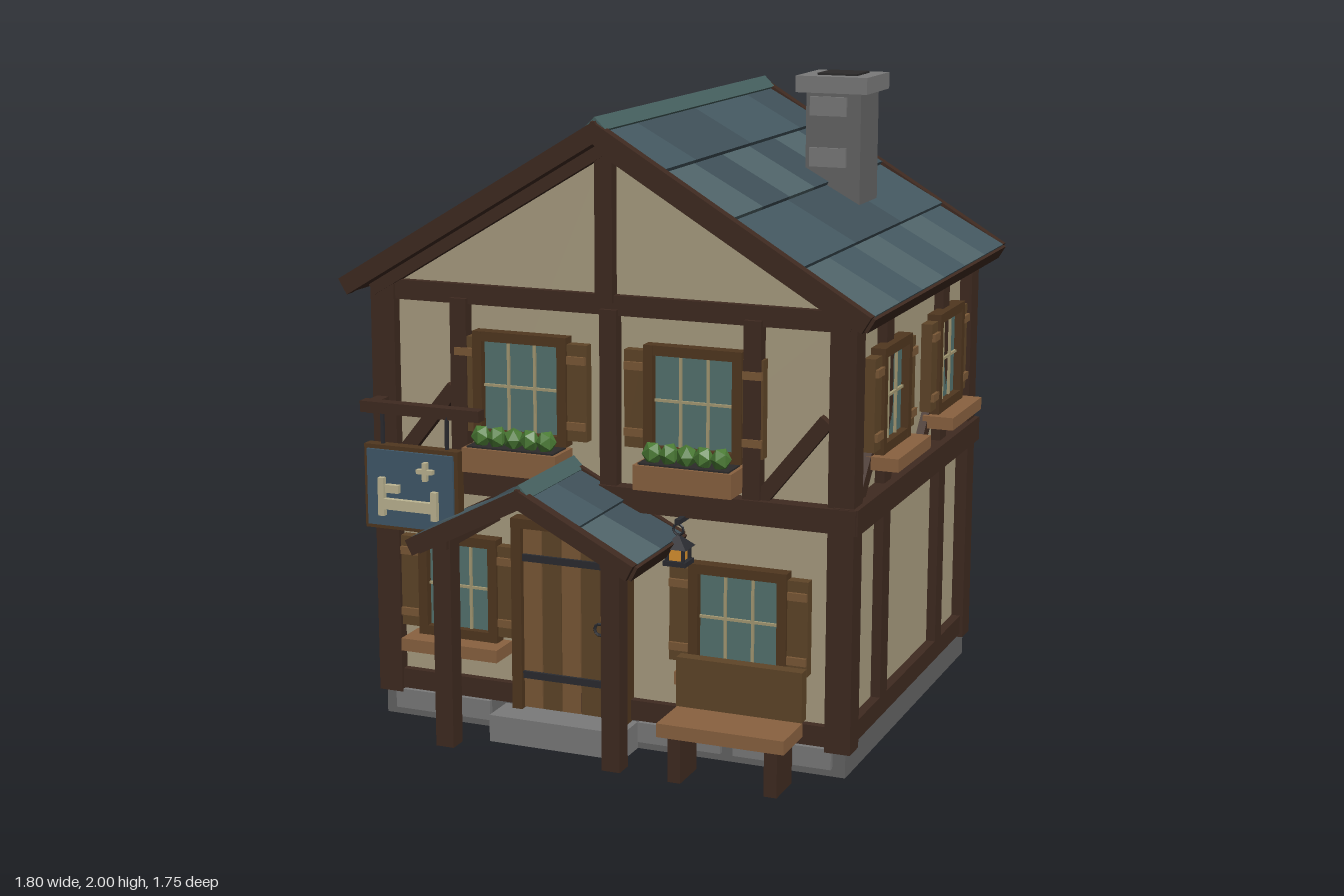
import * as THREE from 'three';

const mat = (color, double) => new THREE.MeshStandardMaterial({ color, flatShading: true, side: double ? THREE.DoubleSide : THREE.FrontSide });
const M = {
  plaster: mat(0xa99d80), beam: mat(0x3f2a20), trim: mat(0x50371f), plank: mat(0x7a5836), wood: mat(0x8a6240),
  shutter: mat(0x5f4528), stone: mat(0x646464), paleStone: mat(0x7a7a7a), soot: mat(0x2c2a2a), iron: mat(0x2a2b30),
  glass: mat(0x54736f), bar: mat(0xa59a74), leaf: mat(0x4a7a34), ridge: mat(0x46605f), sign: mat(0x40586a),
  cream: mat(0xbdb592), flame: mat(0xd8912f),
};
const TILES = [0x3f5058, 0x4b6067, 0x445860, 0x506469].map((c) => mat(c));
const CX = 0.045; // house centre line

function add(parent, name, geometry, material, x = 0, y = 0, z = 0) {
  const m = new THREE.Mesh(geometry, material);
  m.name = name;
  m.position.set(x, y, z);
  parent.add(m);
  return m;
}
// Box given by its extents
function box(parent, name, material, x0, x1, y0, y1, z0, z1) {
  return add(parent, name, new THREE.BoxGeometry(x1 - x0, y1 - y0, z1 - z0), material, (x0 + x1) / 2, (y0 + y1) / 2, (z0 + z1) / 2);
}
// Diagonal timber in the xy plane
function strut(parent, name, x0, y0, x1, y1, thick, z, depth) {
  const g = new THREE.BoxGeometry(Math.hypot(x1 - x0, y1 - y0), thick, depth);
  const m = add(parent, name, g, M.beam, (x0 + x1) / 2, (y0 + y1) / 2, z);
  m.rotation.z = Math.atan2(y1 - y0, x1 - x0);
  return m;
}
function group(parent, name, x = 0, y = 0, z = 0) {
  const g = new THREE.Group();
  g.name = name;
  g.position.set(x, y, z);
  parent.add(g);
  return g;
}

// Gabled roof: overlapping tile rows on a deck, bargeboards, fascias and ridge
function gableRoof(parent, name, o) {
  const roof = group(parent, name, o.x, o.y, (o.z0 + o.z1) / 2);
  const len = o.z1 - o.z0, slope = Math.hypot(o.half, o.drop), row = slope / o.rows, col = (len - 0.07) / o.cols;
  for (const side of [0, 1]) {
    const turn = group(roof, side ? 'leftSlope' : 'rightSlope');
    turn.rotation.y = side * Math.PI;
    const s = group(turn, 'slope');
    s.rotation.z = -Math.atan2(o.drop, o.half);
    box(s, 'deck', M.beam, 0, slope - 0.01, -0.055, -0.025, -len / 2 + 0.02, len / 2 - 0.02);
    for (let r = 0; r < o.rows; r++) for (let c = 0; c < o.cols; c++) {
      const k = (r * 7 + c * 5 + r * c * 3 + side * 2 + ((r + c) % 2)) % 4;
      const t = add(s, 'roofTile', new THREE.BoxGeometry(row + 0.012, 0.018, col), TILES[k],
        (r + 0.5) * row, -0.014, -len / 2 + 0.035 + (c + 0.5) * col);
      t.rotation.z = 0.05;
    }
    for (const e of [-1, 1])
      add(s, 'bargeboard', new THREE.BoxGeometry(slope + 0.01, o.barge, 0.035), M.beam, slope / 2, -o.barge / 2, e * (len / 2 - 0.0175));
    box(s, 'eaveFascia', M.beam, slope - 0.02, slope + 0.015, -0.05, -0.004, -len / 2 + 0.02, len / 2 - 0.02);
  }
  const ridge = add(roof, 'ridgeCap', new THREE.BoxGeometry(0.05, 0.05, len - 0.03), M.ridge, 0, -0.022, 0);
  ridge.rotation.z = Math.PI / 4;
}

// Window facing local +z; origin at the centre of the frame on the wall
function windowUnit(parent, name, x, y, z, turn, w, h, ledge) {
  const g = group(parent, name, x, y, z);
  g.rotation.y = turn;
  const W = w / 2, H = h / 2, f = 0.03;
  box(g, 'glass', M.glass, -W + f, W - f, -H + f, H - f, 0, 0.02);
  for (const s of [-1, 1]) {
    box(g, 'frameSide', M.trim, s * (W - f / 2) - f / 2, s * (W - f / 2) + f / 2, -H, H, 0, 0.045);
    box(g, 'frameRail', M.trim, -W, W, s * (H - f / 2) - f / 2, s * (H - f / 2) + f / 2, 0, 0.044);
    box(g, 'glazingBar', M.bar, s * W * 0.28 - 0.004, s * W * 0.28 + 0.004, -H + f, H - f, 0.01, 0.028);
    // Shutter with two battens
    const c = s * (W + 0.032);
    box(g, 'shutter', M.shutter, c - 0.032, c + 0.032, -H + 0.02, H - 0.02, 0, 0.035);
    for (const b of [-1, 1]) box(g, 'shutterBatten', M.plank, c - 0.03, c + 0.03, b * H * 0.6 - 0.012, b * H * 0.6 + 0.012, 0.03, 0.045);
  }
  box(g, 'glazingBar', M.bar, -W + f, W - f, -0.004, 0.004, 0.01, 0.028);
  if (ledge === 'flowers') {
    box(g, 'flowerBox', M.wood, -W, W, -H - 0.085, -H - 0.01, 0, 0.125);
    box(g, 'soil', M.soot, -W + 0.012, W - 0.012, -H - 0.02, -H - 0.005, 0.02, 0.115);
    for (let i = 0; i < 5; i++) {
      const p = add(g, 'plant', new THREE.IcosahedronGeometry(0.032, 0), M.leaf, (i - 2) * 0.054, -H + 0.022, 0.085);
      p.scale.y = 1.15;
      p.rotation.y = i;
    }
  } else if (ledge) box(g, 'sill', M.wood, -W - 0.03, W + 0.03, -H - 0.04, -H, 0, ledge);
}

function buildFrame(house) {
  box(house, 'foundation', M.stone, -0.72, 0.81, 0, 0.09, -0.78, 0.49);
  for (const [a, b] of [[-0.68, -0.51], [-0.47, -0.35], [0.15, 0.31], [0.34, 0.42], [0.46, 0.62], [0.65, 0.77]])
    box(house, 'foundationStone', M.paleStone, a, b, 0.025, 0.088, 0.45, 0.505);
  // Plastered walls with both gables
  const s = new THREE.Shape([[-0.70, 0.09], [0.79, 0.09], [0.79, 1.39], [CX, 1.85], [-0.70, 1.39]].map((p) => new THREE.Vector2(...p)));
  add(house, 'walls', new THREE.ExtrudeGeometry(s, { depth: 1.23, bevelEnabled: false }), M.plaster, 0, 0, -0.755);
  // Corner posts
  for (const x of [-0.735, 0.75]) for (const z of [-0.785, 0.43]) box(house, 'cornerPost', M.beam, x, x + 0.08, 0.08, 1.39, z, z + 0.08);
  // Sill and eave beams round the house
  for (const [y0, y1] of [[0.092, 0.155], [1.342, 1.402]]) {
    for (const z of [-0.775, 0.445]) box(house, 'crossBeam', M.beam, -0.73, 0.82, y0, y1, z, z + 0.055);
    for (const x of [-0.725, 0.765]) box(house, 'sideBeam', M.beam, x, x + 0.055, y0, y1, -0.78, 0.5);
  }
  // Storey beams on the front and window side
  box(house, 'storeyBeam', M.beam, -0.74, 0.84, 0.755, 0.828, 0.46, 0.525);
  box(house, 'storeyBeam', M.beam, 0.77, 0.845, 0.752, 0.83, -0.79, 0.52);
  // Front studs and braces
  for (const x of [-0.435, 0.06, 0.515]) box(house, 'stud', M.beam, x - 0.027, x + 0.027, 0.82, 1.36, 0.46, 0.515);
  strut(house, 'brace', 0.54, 0.83, 0.74, 1.08, 0.045, 0.485, 0.04);
  strut(house, 'brace', -0.66, 0.83, -0.46, 1.08, 0.045, 0.485, 0.04);
  // Side studs and braces
  for (const z of [0.155, -0.44]) {
    box(house, 'sideStud', M.beam, 0.77, 0.82, 0.15, 1.36, z - 0.035, z + 0.035);
    const side = group(house, 'sideBrace', 0.795, 0, z);
    side.rotation.y = Math.PI / 2;
    strut(side, 'brace', -0.23, 0.83, -0.02, 1.05, 0.045, 0, 0.04);
  }
  // Gable timbers front and back
  for (const z of [0.485, -0.765]) {
    box(house, 'kingPost', M.beam, CX - 0.028, CX + 0.028, 1.38, 1.86, z - 0.025, z + 0.025);
    for (const d of [-1, 1]) strut(house, 'gableRafter', CX, 1.845, CX + d * 0.78, 1.375, 0.055, z, 0.055);
  }
}

function buildChimney(house) {
  const g = group(house, 'chimney');
  box(g, 'stack', M.stone, 0.395, 0.575, 1.5, 1.95, -0.46, -0.28);
  box(g, 'cap', M.paleStone, 0.365, 0.6, 1.942, 1.994, -0.49, -0.26);
  box(g, 'flue', M.soot, 0.42, 0.55, 1.96, 2.0, -0.44, -0.31);
  for (const y of [1.71, 1.87]) box(g, 'stackStone', M.paleStone, 0.41, 0.53, y, y + 0.06, -0.3, -0.27);
}

function buildEntrance(house) {
  const g = group(house, 'entrance');
  box(g, 'step', M.paleStone, -0.3, 0.145, 0, 0.085, 0.45, 0.61);
  for (const x of [-0.262, 0.093]) box(g, 'doorJamb', M.trim, x, x + 0.033, 0.085, 0.695, 0.46, 0.525);
  box(g, 'doorLintel', M.trim, -0.262, 0.126, 0.665, 0.695, 0.46, 0.526);
  for (let i = 0; i < 5; i++) box(g, 'doorPlank', i % 2 ? M.shutter : M.plank, -0.23 + i * 0.0648, -0.168 + i * 0.0648, 0.088, 0.668, 0.46, 0.505);
  for (const y of [0.195, 0.57]) box(g, 'doorStrap', M.iron, -0.23, 0.093, y - 0.011, y + 0.011, 0.49, 0.515);
  add(g, 'doorRing', new THREE.TorusGeometry(0.018, 0.005, 5, 10), M.iron, 0.03, 0.37, 0.512);
  // Porch
  for (const x of [-0.343, 0.2]) {
    box(g, 'porchPost', M.beam, x - 0.029, x + 0.029, 0.05, 0.71, 0.765, 0.825);
    box(g, 'porchBeam', M.beam, x - 0.025, x + 0.025, 0.67, 0.715, 0.48, 0.84);
  }
  gableRoof(g, 'porchRoof', { x: -0.07, y: 0.885, half: 0.36, drop: 0.185, z0: 0.46, z1: 0.88, rows: 2, cols: 2, barge: 0.05 });
}

function buildBench(house) {
  const g = group(house, 'bench');
  box(g, 'seat', M.wood, 0.315, 0.71, 0.15, 0.192, 0.59, 0.755);
  box(g, 'backrest', M.shutter, 0.315, 0.71, 0.195, 0.348, 0.56, 0.6);
  for (const x of [0.345, 0.645]) {
    box(g, 'leg', M.beam, x, x + 0.04, 0.01, 0.152, 0.61, 0.74);
    box(g, 'backSupport', M.beam, x, x + 0.04, 0.15, 0.3, 0.55, 0.575);
  }
}

function buildSign(house) {
  const g = group(house, 'hangingSign');
  box(g, 'signArm', M.beam, -0.735, -0.33, 1.0, 1.035, 0.555, 0.595);
  box(g, 'armBracket', M.beam, -0.72, -0.68, 0.995, 1.035, 0.47, 0.58);
  for (const x of [-0.66, -0.44]) box(g, 'hanger', M.iron, x - 0.005, x + 0.005, 0.89, 1.01, 0.585, 0.595);
  box(g, 'signFrame', M.trim, -0.713, -0.393, 0.643, 0.907, 0.575, 0.613);
  box(g, 'signBoard', M.sign, -0.7, -0.406, 0.656, 0.894, 0.57, 0.622);
  // Carved bed and sparkle
  const carve = [[-0.655, -0.635, 0.69, 0.81], [-0.475, -0.455, 0.69, 0.78], [-0.65, -0.46, 0.712, 0.745],
    [-0.63, -0.585, 0.765, 0.79], [-0.522, -0.468, 0.834, 0.848], [-0.502, -0.488, 0.812, 0.87]];
  for (const [a, b, c, d] of carve) box(g, 'carving', M.cream, a, b, c, d, 0.615, 0.64);
}

function buildLantern(house) {
  const g = group(house, 'lantern', 0.305, 0, 0.56);
  box(g, 'bracket', M.iron, -0.008, 0.008, 0.745, 0.76, -0.08, 0.01);
  add(g, 'ring', new THREE.TorusGeometry(0.016, 0.004, 5, 10), M.iron, 0, 0.728);
  const cap = add(g, 'cap', new THREE.ConeGeometry(0.055, 0.04, 4), M.iron, 0, 0.695);
  cap.rotation.y = Math.PI / 4;
  box(g, 'light', M.flame, -0.022, 0.022, 0.635, 0.678, -0.022, 0.022);
  box(g, 'base', M.iron, -0.036, 0.036, 0.622, 0.637, -0.034, 0.034);
  for (const x of [-0.025, 0.025]) for (const z of [-0.025, 0.025]) box(g, 'cageBar', M.iron, x - 0.005, x + 0.005, 0.63, 0.68, z - 0.005, z + 0.005);
}

function buildBarrel(house) {
  const g = group(house, 'barrel', -0.81, 0, -0.33);
  const profile = [[0, 0.005], [0.08, 0.005], [0.098, 0.08], [0.098, 0.16], [0.08, 0.235], [0.068, 0.235], [0.068, 0.225], [0, 0.225]];
  add(g, 'staves', new THREE.LatheGeometry(profile.map((p) => new THREE.Vector2(...p)), 10), M.plank);
  for (const y of [0.055, 0.185]) add(g, 'hoop', new THREE.CylinderGeometry(0.099, 0.099, 0.018, 10, 1, true), mat(0x2a2b30, true), 0, y, 0);
}

export function createModel() {
  const house = new THREE.Group();
  house.name = 'timberFramedInn';
  buildFrame(house);
  gableRoof(house, 'mainRoof', { x: CX, y: 1.92, half: 0.845, drop: 0.51, z0: -0.875, z1: 0.585, rows: 4, cols: 6, barge: 0.055 });
  buildChimney(house);
  buildEntrance(house);
  // Front windows, then side windows
  for (const x of [-0.23, 0.33]) windowUnit(house, 'upperWindow', x, 1.098, 0.475, 0, 0.31, 0.335, 'flowers');
  windowUnit(house, 'lowerLeftWindow', -0.45, 0.45, 0.475, 0, 0.27, 0.33, 0.11);
  windowUnit(house, 'lowerRightWindow', 0.475, 0.45, 0.475, 0, 0.31, 0.33, 0.08);
  for (const z of [0.145, -0.435]) windowUnit(house, 'sideWindow', 0.8, 1.1, z, Math.PI / 2, 0.275, 0.32, 0.1);
  buildBench(house);
  buildSign(house);
  buildLantern(house);
  buildBarrel(house);
  return house;
}
